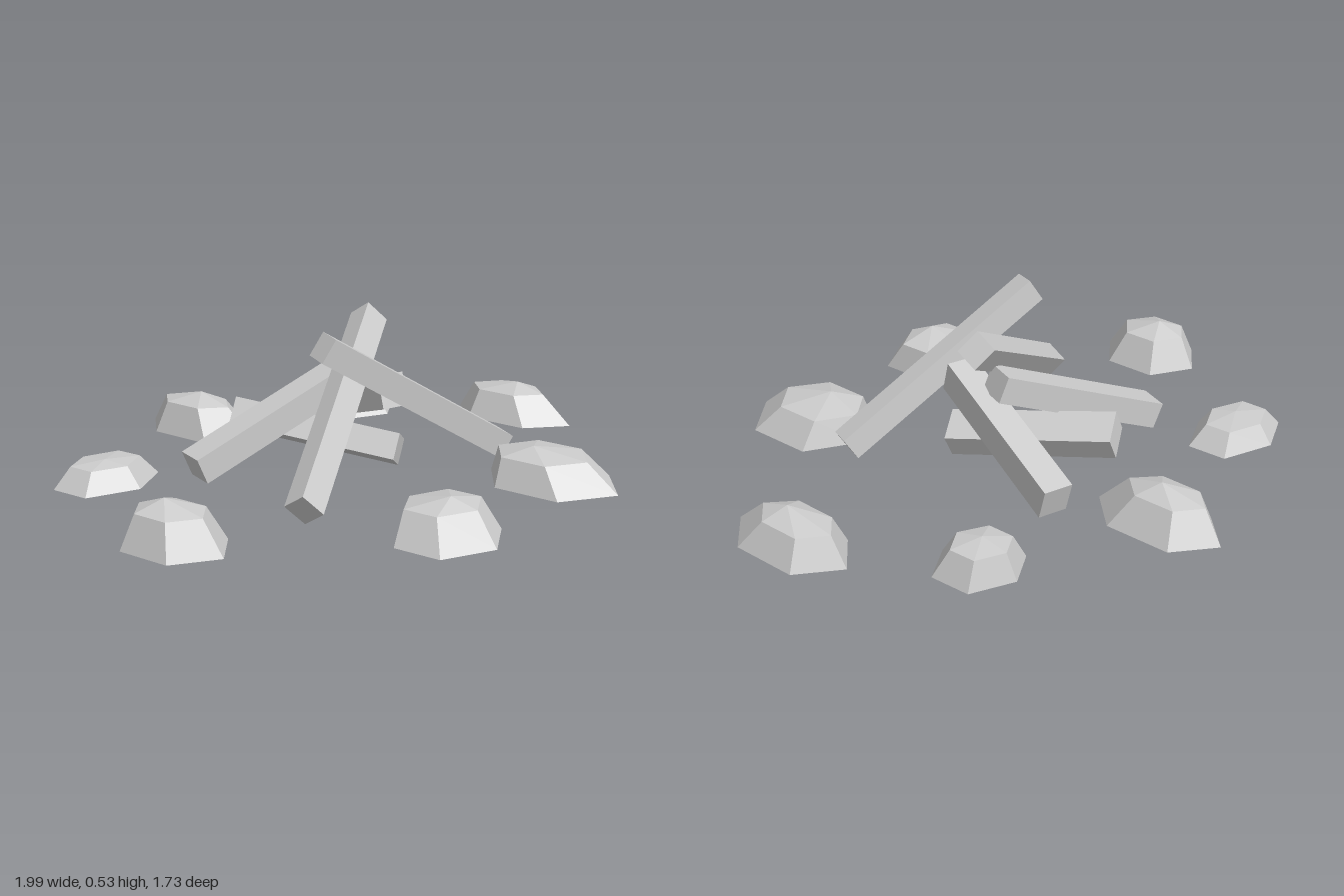
import * as THREE from 'three';

const material = new THREE.MeshStandardMaterial({ color: 0xcccccc, flatShading: true, side: THREE.DoubleSide });

// Square-cut log between two end centres; "up" sets its roll
function makeLog(name, from, to, height, width, up) {
  const a = new THREE.Vector3(...from), b = new THREE.Vector3(...to);
  const along = b.clone().sub(a);
  const length = along.length();
  along.normalize();
  const n = new THREE.Vector3(...up);
  n.addScaledVector(along, -n.dot(along)).normalize();
  const side = along.clone().cross(n);
  const mesh = new THREE.Mesh(new THREE.BoxGeometry(length, height, width), material);
  mesh.quaternion.setFromRotationMatrix(new THREE.Matrix4().makeBasis(along, n, side));
  mesh.position.copy(a).add(b).multiplyScalar(0.5);
  mesh.name = name;
  return mesh;
}

// Uneven hexagon shared by all stones, clockwise from the back
const outline = [[-0.1, -1], [0.93, -0.55], [1, 0.45], [0.1, 1], [-0.9, 0.5], [-0.95, -0.5]];

// Open-bottomed stone: ground ring, shoulder ring and a peak
function makeStone({ at, radius, height, shoulder, scale, rise = 0.75, peak }) {
  const ring = ([cx, cz], s, y) => outline.map(([x, z]) => [cx + x * radius[0] * s, y, cz + z * radius[1] * s]);
  const base = ring(at, 1, 0);
  const top = ring(shoulder, scale, height * rise);
  const apex = [peak[0], height, peak[1]];
  const points = [];
  for (let i = 0; i < 6; i++) {
    const j = (i + 1) % 6;
    points.push(base[i], top[i], top[j], base[i], top[j], base[j], apex, top[j], top[i]);
  }
  const geometry = new THREE.BufferGeometry();
  geometry.setAttribute('position', new THREE.Float32BufferAttribute(points.flat(), 3));
  geometry.computeVertexNormals();
  const mesh = new THREE.Mesh(geometry, material);
  mesh.name = 'stone';
  return mesh;
}

export function createModel() {
  const model = new THREE.Group();
  model.name = 'campfire';

  // Leaning pile of logs: two long, three short
  const logs = new THREE.Group();
  logs.name = 'logPile';
  logs.add(
    makeLog('longLog', [-0.5, 0.05, 0.275], [0.215, 0.468, -0.045], 0.09, 0.083, [-0.056, 0.06, -0.035]),
    makeLog('longLog', [0.415, 0.055, 0.36], [-0.24, 0.478, 0.133], 0.085, 0.085, [0.045, 0.065, 0.025]),
    makeLog('shortLog', [0.25, 0.085, -0.41], [0.09, 0.272, 0.155], 0.11, 0.1, [0, 1, 0]),
    makeLog('shortLog', [-0.44, 0.062, -0.235], [0.12, 0.312, -0.04], 0.09, 0.11, [0, 1, 0]),
    makeLog('shortLog', [0.125, 0.062, 0.155], [-0.11, 0.147, -0.355], 0.09, 0.12, [0.045, 0.08, 0])
  );
  model.add(logs);

  // Circle of stones around the pile
  const stones = new THREE.Group();
  stones.name = 'stoneCircle';
  [
    { at: [0.32, 0.634], radius: [0.175, 0.23], height: 0.122, shoulder: [0.31, 0.595], scale: 0.7, peak: [0.28, 0.58] },
    { at: [0.867, 0.118], radius: [0.13, 0.23], height: 0.13, shoulder: [0.867, 0.09], scale: 0.63, peak: [0.867, 0.13] },
    { at: [0.573, -0.39], radius: [0.14, 0.14], height: 0.108, shoulder: [0.578, -0.405], scale: 0.66, rise: 0.85, peak: [0.57, -0.4] },
    { at: [0.02, -0.637], radius: [0.128, 0.23], height: 0.142, shoulder: [0.008, -0.655], scale: 0.62, peak: [0.015, -0.64] },
    { at: [-0.59, -0.487], radius: [0.173, 0.138], height: 0.08, shoulder: [-0.59, -0.49], scale: 0.66, rise: 0.85, peak: [-0.6, -0.48] },
    { at: [-0.86, 0.088], radius: [0.14, 0.182], height: 0.145, shoulder: [-0.865, 0.08], scale: 0.66, peak: [-0.87, 0.06] },
    { at: [-0.31, 0.672], radius: [0.17, 0.16], height: 0.13, shoulder: [-0.29, 0.635], scale: 0.72, peak: [-0.3, 0.67] }
  ].forEach((s) => stones.add(makeStone(s)));
  model.add(stones);

  return model;
}
